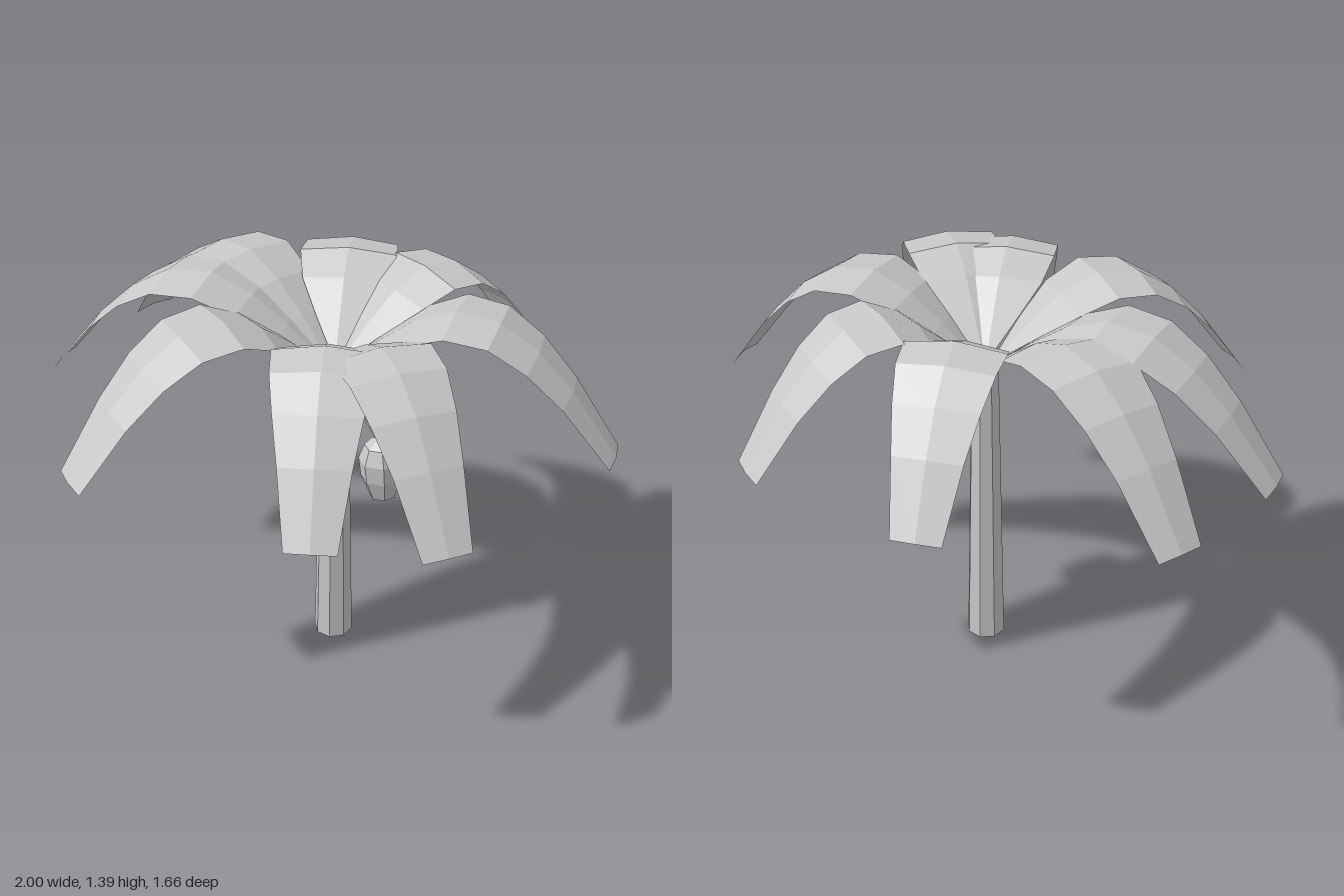
import * as THREE from 'three';

const grey = new THREE.MeshStandardMaterial({ color: 0xc8c8c8, flatShading: true });
grey.name = 'pale grey';
const leafGrey = new THREE.MeshStandardMaterial({ color: 0xc8c8c8, flatShading: true, side: THREE.DoubleSide });
leafGrey.name = 'leaf grey';

// Trunk axis
const AX = 0.033, AZ = -0.012;

// Frond spine for a reach of 1: [distance out, height, half width]
const SPINE = [
  [0.05, 1.145, 0.02], [0.16, 1.24, 0.085], [0.28, 1.33, 0.145], [0.42, 1.388, 0.168],
  [0.575, 1.37, 0.16], [0.71, 1.285, 0.14], [0.835, 1.16, 0.115], [1.0, 0.945, 0.083],
];

// Arched sheet with a shallow ridge along its middle
function frondGeometry(reach) {
  const pos = [], index = [];
  SPINE.forEach(([r, y, w], i) => {
    const a = SPINE[Math.max(i - 1, 0)], b = SPINE[Math.min(i + 1, SPINE.length - 1)];
    const tx = (b[0] - a[0]) * reach, ty = b[1] - a[1], len = Math.hypot(tx, ty);
    const drop = 0.12 * w;
    for (const s of [-1, 0, 1]) {
      const d = s === 0 ? 0 : drop;
      pos.push(r * reach + (ty / len) * d, y - (tx / len) * d, s * w);
    }
    if (i === 0) return;
    for (let k = 0; k < 2; k++) {
      const p = (i - 1) * 3 + k, q = i * 3 + k;
      index.push(p, p + 1, q, p + 1, q + 1, q);
    }
  });
  let g = new THREE.BufferGeometry();
  g.setAttribute('position', new THREE.Float32BufferAttribute(pos, 3));
  g.setIndex(index);
  g = g.toNonIndexed();
  g.computeVertexNormals();
  return g;
}

function add(parent, name, geometry, material) {
  const m = new THREE.Mesh(geometry, material);
  m.name = name;
  parent.add(m);
  return m;
}

export function createModel() {
  const tree = new THREE.Group();
  tree.name = 'palmTree';

  // Trunk
  add(tree, 'trunk', new THREE.CylinderGeometry(0.048, 0.07, 1.15, 8), grey)
    .position.set(AX, 0.575, AZ);

  // Fronds, by the ground position of each tip
  const tips = [
    [-0.025, -0.83], [0.635, -0.635], [0.995, 0.085], [0.545, 0.755],
    [0.135, 0.825], [-0.705, 0.61], [-1.0, -0.165], [-0.8, -0.625],
  ];
  const fronds = new THREE.Group();
  fronds.name = 'fronds';
  fronds.position.set(AX, 0, AZ);
  tree.add(fronds);
  for (const [x, z] of tips) {
    const dx = x - AX, dz = z - AZ;
    add(fronds, 'frond', frondGeometry(Math.hypot(dx, dz)), leafGrey)
      .rotation.y = Math.atan2(-dz, dx);
  }

  // Hanging fruit
  const profile = [[0, -0.12], [0.047, -0.12], [0.074, -0.04], [0.078, 0.03], [0.055, 0.085], [0, 0.118]]
    .map(([x, y]) => new THREE.Vector2(x, y));
  const fruit = add(tree, 'fruit', new THREE.LatheGeometry(profile, 7), grey);
  fruit.position.set(0.207, 0.764, 0.024);
  fruit.rotation.set(0, 0.3, 0.06);

  // Fruit stalk
  const stalk = new THREE.LineCurve3(new THREE.Vector3(0.05, 1.13, 0.01), new THREE.Vector3(0.2, 0.85, 0.02));
  add(tree, 'fruitStalk', new THREE.TubeGeometry(stalk, 1, 0.008, 5), grey);

  return tree;
}
